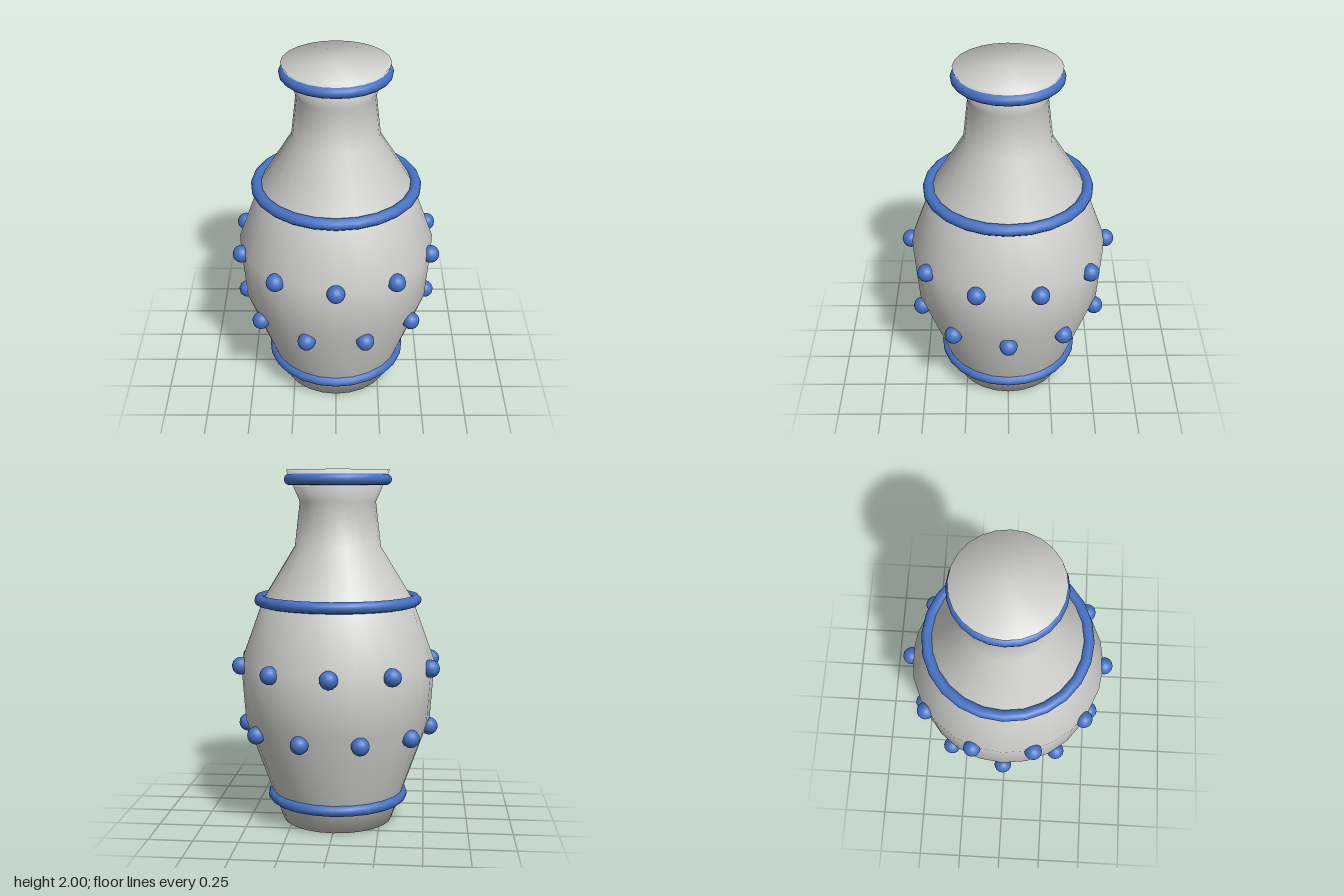
import * as THREE from 'three';

export function createModel() {
  const model = new THREE.Group();
  model.name = 'vase';
  const clay = new THREE.MeshStandardMaterial({ color: 0xd0d0ce });
  clay.name = 'pale grey clay';
  const blue = new THREE.MeshStandardMaterial({ color: 0x4472c4 });
  blue.name = 'blue glaze';

  const add = (name, geometry, material, x = 0, y = 0, z = 0) => {
    const mesh = new THREE.Mesh(geometry, material);
    mesh.name = name;
    mesh.position.set(x, y, z);
    model.add(mesh);
  };

  // Closed body, turned from base to lip
  const profile = [
    [0, 0], [0.315, 0], [0.37, 0.15], [0.53, 0.6], [0.553, 0.93],
    [0.425, 1.28], [0.243, 1.577], [0.214, 1.825], [0.29, 2], [0, 2],
  ].map(([r, y]) => new THREE.Vector2(r, y));
  add('body', new THREE.LatheGeometry(profile, 24), clay);

  // Raised bands
  for (const [name, radius, y] of [
    ['baseBand', 0.372, 0.148], ['shoulderBand', 0.442, 1.278], ['lipBand', 0.27, 1.947],
  ]) {
    add(name, new THREE.TorusGeometry(radius, 0.032, 12, 24).rotateX(Math.PI / 2), blue, 0, y, 0);
  }

  // Two staggered rows of ten beads
  const bead = new THREE.SphereGeometry(0.05, 16, 12);
  for (const [name, radius, y, start] of [
    ['lowerBead', 0.526, 0.55, 0], ['upperBead', 0.558, 0.915, Math.PI / 2],
  ]) {
    for (let i = 0; i < 10; i++) {
      const a = start + (i * Math.PI) / 5;
      add(name, bead, blue, radius * Math.cos(a), y, radius * Math.sin(a));
    }
  }
  return model;
}
